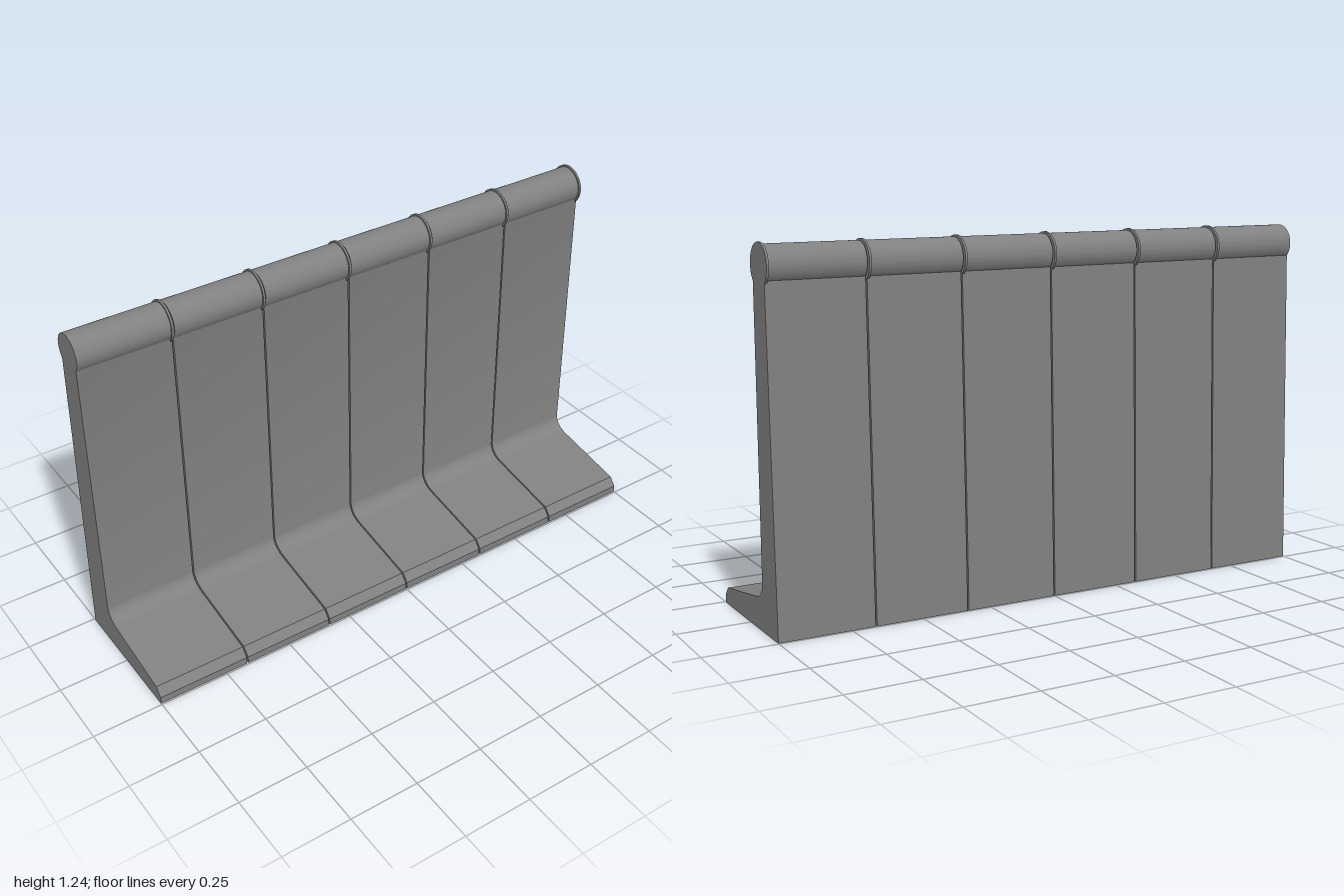
import * as THREE from 'three';
import { toCreasedNormals } from 'three/addons/utils/BufferGeometryUtils.js';

export function createModel() {
  const group = new THREE.Group();
  group.name = 'retainingWall';
  const concrete = new THREE.MeshStandardMaterial({ color: 0x808080 });
  concrete.name = 'concrete grey';

  const count = 6, pitch = 2 / count, gap = 0.005;
  const width = pitch - gap;
  const railZ = -0.165, railY = 1.167, railR = 0.065;

  // Cross-section (z, y): sloped foot, fillet, tapered stem, round top rail
  const profile = new THREE.Shape();
  profile.moveTo(-0.245, 0);
  profile.lineTo(0.245, 0);
  profile.lineTo(0.245, 0.027);
  profile.lineTo(0.22, 0.057);
  profile.lineTo(-0.055, 0.102);
  profile.bezierCurveTo(-0.088, 0.107, -0.115, 0.128, -0.115, 0.16);
  profile.lineTo(-0.115, 1.125);
  profile.absarc(railZ, railY, railR, -0.69, 3.88, false);
  profile.closePath();

  const panelGeo = new THREE.ExtrudeGeometry(profile, {
    depth: width, bevelEnabled: false, curveSegments: 32,
  });
  panelGeo.translate(0, 0, -width / 2).rotateY(-Math.PI / 2);
  const panel = toCreasedNormals(panelGeo, 0.4);

  // Thin raised ring at the left end of each panel's rail
  const collarWidth = 0.008;
  const collarGeo = new THREE.CylinderGeometry(0.071, 0.071, collarWidth, 48).rotateZ(Math.PI / 2);

  for (let i = 0; i < count; i++) {
    // Outer panels reach the full length; joints only lie between panels
    const start = -1 + i * pitch + (i > 0 ? gap / 2 : 0);
    const end = -1 + (i + 1) * pitch - (i < count - 1 ? gap / 2 : 0);
    const wall = new THREE.Mesh(panel, concrete);
    wall.name = 'wallPanel' + (i + 1);
    wall.scale.x = (end - start) / width;
    wall.position.x = (start + end) / 2;
    const collar = new THREE.Mesh(collarGeo, concrete);
    collar.name = 'railCollar' + (i + 1);
    collar.position.set(end - collarWidth / 2 + (i < count - 1 ? 0.0005 : 0), railY, railZ);
    group.add(wall, collar);
  }
  return group;
}
